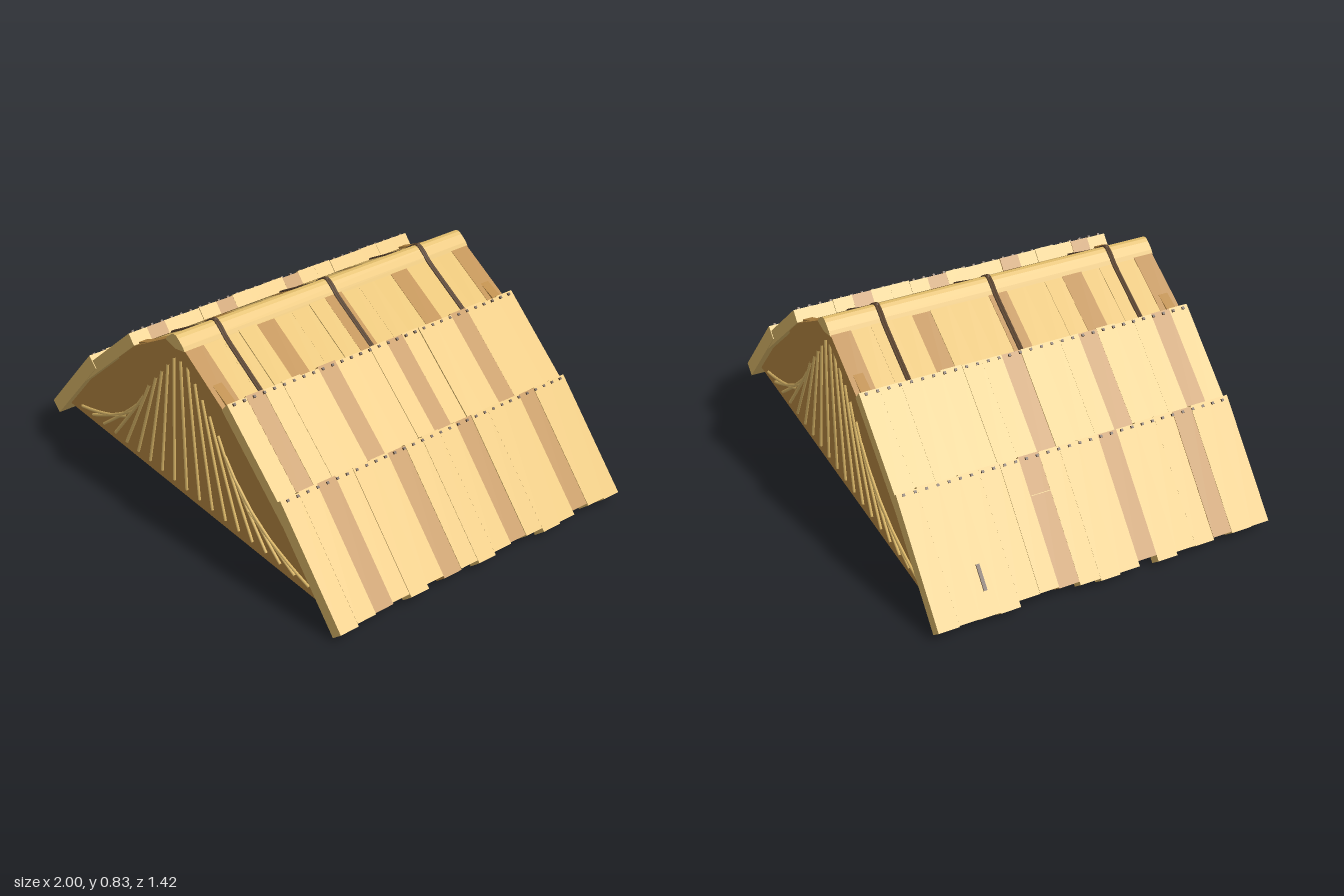
import * as THREE from 'three';
import { mergeGeometries } from 'three/addons/utils/BufferGeometryUtils.js';

const mat = (name, color) => {
  const m = new THREE.MeshStandardMaterial({ color });
  m.name = name;
  return m;
};

// Prism: outline in the xy plane, running from z0 to z1
function prism(points, z0, z1) {
  const shape = new THREE.Shape(points.map(p => new THREE.Vector2(p[0], p[1])));
  return new THREE.ExtrudeGeometry(shape, { depth: z1 - z0, bevelEnabled: false }).translate(0, 0, z0);
}

// Tiers from eave to ridge: outer line from low to high, thickness, index of the brown planks
const TIERS = [
  { name: 'lowerTier', low: [0.99, 0.058], high: [0.647, 0.438], t: 0.061, brown: 2, half: 0.708, jag: 0.014 },
  { name: 'middleTier', low: [0.74, 0.327], high: [0.33, 0.685], t: 0.055, brown: 3, half: 0.705, jag: 0.012 },
  { name: 'upperTier', low: [0.43, 0.56], high: [0, 0.815], t: 0.05, brown: 0, half: 0.7, jag: 0.01 },
];
const COUNT = 17;

export function createModel() {
  const group = new THREE.Group();
  const straw = mat('pale straw', 0xe3be6c);
  const brown = mat('brown straw', 0xbb8a43);
  const rope = mat('dark rope', 0x5e4630);

  let seed = 7;
  const rand = () => (seed = (seed * 16807) % 2147483647) / 2147483647;
  const add = (name, geometries, material) => {
    const mesh = new THREE.Mesh(mergeGeometries(geometries), material);
    mesh.name = name;
    group.add(mesh);
  };

  // Roof slopes: overlapping rows of planks with uneven ends
  for (const side of [1, -1]) {
    const sideName = side > 0 ? 'left' : 'right';
    TIERS.forEach((tier, row) => {
      const [lx, ly] = tier.low, [hx, hy] = tier.high;
      const len = Math.hypot(hx - lx, hy - ly);
      const dx = (lx - hx) / len, dy = (ly - hy) / len; // down the slope
      const pale = [], dark = [];
      const step = 2 * tier.half / COUNT;
      const edges = Array.from({ length: COUNT + 1 }, (_, i) =>
        -tier.half + i * step + (i > 0 && i < COUNT ? (rand() - 0.5) * 0.006 : 0));
      for (let i = 0; i < COUNT; i++) {
        const end = len + (rand() * 2 - 1) * tier.jag;
        const lift = (rand() - 0.5) * 0.006;
        const start = row < 2 ? (rand() - 0.5) * 0.006 : 0;
        const at = (along, depth) => [
          side * (hx + dx * along + dy * depth),
          hy + dy * along - dx * depth];
        const outline = [at(start, -lift), at(end, -lift), at(end, tier.t), at(start, tier.t)];
        // The ridge row is trimmed on the centre plane
        if (row === 2) outline[3] = [0, hy - tier.t * 1.16];
        const isBrown = i % 4 === tier.brown && !(side < 0 && row < 2 && i < 4);
        (isBrown ? dark : pale).push(prism(outline, edges[i], edges[i + 1]));
      }
      add(`${sideName} ${tier.name} palePlanks`, pale, straw);
      add(`${sideName} ${tier.name} brownPlanks`, dark, brown);

      // Stitches along the upper edge of the two lower rows
      if (row < 2) {
        const dots = [];
        for (let i = 0; i < 31; i++) {
          const dot = new THREE.BoxGeometry(0.01, 0.008, 0.01);
          dot.rotateZ(Math.atan2(dy, dx) * side);
          dot.translate(side * (hx + dx * 0.012 - dy * 0.002), hy + dy * 0.012 + dx * 0.002,
            -0.68 + i * 1.36 / 30);
          dots.push(dot);
        }
        add(`${sideName} ${tier.name} stitches`, dots, rope);
      }
    });
  }

  // Ridge cap: a low folded strip
  const capHalf = [[0.062, 0.778], [0.052, 0.794], [0.022, 0.817], [0.008, 0.825]];
  const cap = [...capHalf, ...capHalf.map(([x, y]) => [-x, y]).reverse(), [0, 0.765]];
  add('ridgeCap', [prism(cap, -0.703, 0.703)], straw);

  // Ropes pulled tight over the ridge, two strands each and a knot on top
  const ropeHalf = [[0.315, 0.631], [0.19, 0.705], [0.065, 0.782], [0.03, 0.812]];
  const ropePath = [...ropeHalf, [0, 0.827], ...ropeHalf.map(([x, y]) => [-x, y]).reverse()];
  const ropes = [];
  for (const z of [0.52, -0.012, -0.485]) {
    for (const dz of [-0.005, 0.005]) {
      const curve = new THREE.CatmullRomCurve3(ropePath.map(([x, y]) => new THREE.Vector3(x, y, z + dz)));
      ropes.push(new THREE.TubeGeometry(curve, 36, 0.006, 6));
    }
    ropes.push(new THREE.SphereGeometry(0.01, 8, 6).translate(0, 0.824, z));
  }
  add('ridgeRopes', ropes, rope);

  // Loose strand lying on the right eave
  const strand = new THREE.BoxGeometry(0.1, 0.01, 0.014);
  strand.rotateZ(Math.atan2(0.38, 0.343)).translate(-0.9, 0.159, -0.49);
  add('looseStrand', [strand], rope);

  // Gable walls with a fan of reed ribs
  const wallHalf = [[0.915, 0.085], [0.625, 0.405], [0.34, 0.63]];
  const wall = [...wallHalf, [0, 0.79], ...wallHalf.map(([x, y]) => [-x, y]).reverse()];
  const ribTops = [[0, 0.705], [0.045, 0.7], [0.09, 0.65], [0.135, 0.6], [0.18, 0.55],
    [0.232, 0.49], [0.275, 0.42], [0.32, 0.36], [0.37, 0.3], [0.42, 0.25]];
  for (const face of [1, -1]) {
    const label = face > 0 ? 'front' : 'back';
    add(`${label}Gable`, [prism(wall, face * 0.66 - 0.02, face * 0.66 + 0.02)], brown);
    const ribs = [];
    ribTops.forEach(([x, y], k) => {
      for (const s of k ? [1, -1] : [1]) {
        const z = face * 0.682;
        const top = new THREE.Vector3(s * x, y, z);
        const foot = new THREE.Vector3(s * k * 0.087, 0.12, z);
        const sag = new THREE.Vector3().lerpVectors(top, foot, 0.5);
        sag.y -= k > 5 ? 0.006 * (k - 5) : 0;
        ribs.push(new THREE.TubeGeometry(new THREE.QuadraticBezierCurve3(top, sag, foot), 6, 0.007, 6));
      }
    });
    add(`${label}GableRibs`, ribs, straw);
  }
  return group;
}
